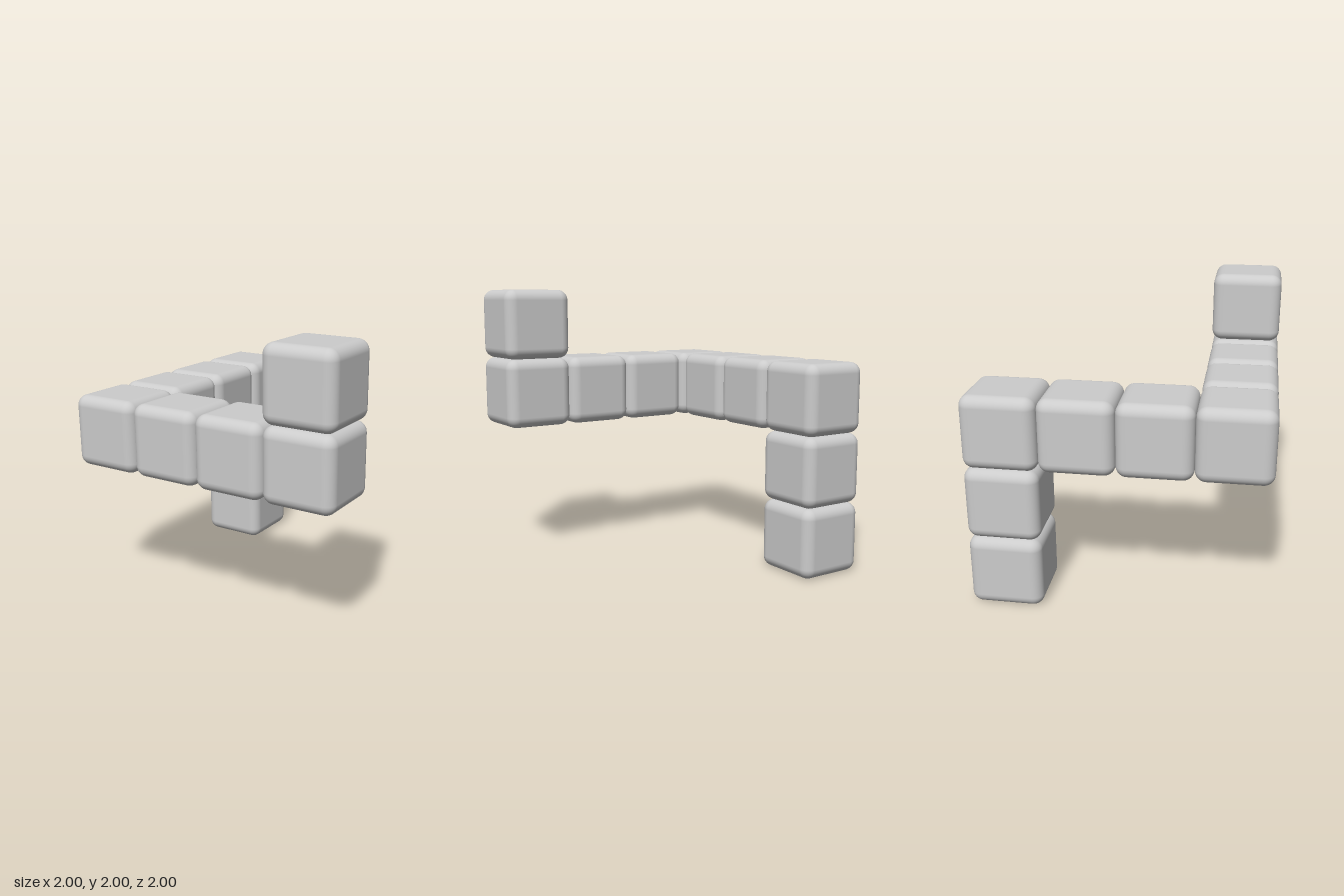
import * as THREE from 'three';
import { RoundedBoxGeometry } from 'three/addons/geometries/RoundedBoxGeometry.js';

const SIZE = 0.5;

export function createModel() {
  const model = new THREE.Group();
  model.name = 'cubeChain';
  const material = new THREE.MeshStandardMaterial({ color: 0xcccccc });
  const cube = new RoundedBoxGeometry(SIZE, SIZE, SIZE, 5, 0.075);

  // A straight run of touching cubes, from a first centre along a direction
  const addRun = (name, count, start, direction) => {
    const run = new THREE.Group();
    run.name = name;
    for (let i = 0; i < count; i++) {
      const mesh = new THREE.Mesh(cube, material);
      mesh.name = `${name}Cube${i + 1}`;
      mesh.position.set(...start).addScaledVector(direction, i * SIZE);
      run.add(mesh);
    }
    model.add(run);
  };

  // Raised end cube, front row, side row running back, and the hanging leg
  addRun('raisedEnd', 1, [0.75, 1.75, 0.75], new THREE.Vector3(0, 1, 0));
  addRun('frontRow', 4, [0.75, 1.25, 0.75], new THREE.Vector3(-1, 0, 0));
  addRun('sideRow', 3, [-0.75, 1.25, 0.25], new THREE.Vector3(0, 0, -1));
  addRun('leg', 2, [-0.75, 0.75, -0.75], new THREE.Vector3(0, -1, 0));

  return model;
}
